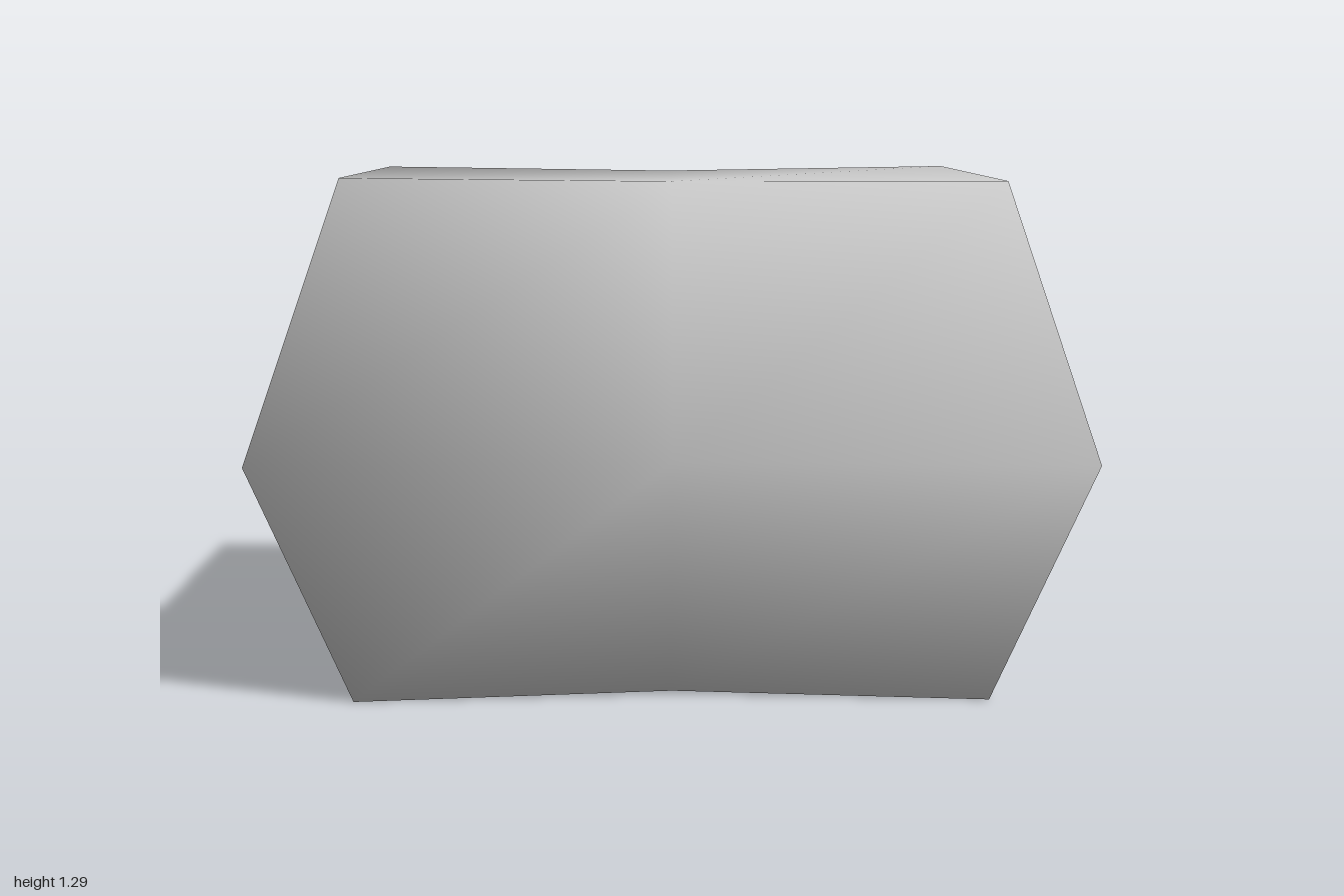
import * as THREE from 'three';

// Pinched, bulging block: three six-point rings joined by walls and closed by caps.
export function createModel() {
  const model = new THREE.Group();
  const grey = new THREE.MeshStandardMaterial({ color: 0xc6c6c6 });
  grey.name = 'light grey';

  // Each ring runs anticlockwise seen from above: three front points, three back points
  const rings = [
    [[-0.79, 0, 0.45], [0, 0.01, 0.4], [0.79, 0, 0.45],
      [0.79, 0, -0.45], [0, 0.01, -0.4], [-0.79, 0, -0.45]],
    [[-1, 0.63, 0.65], [0, 0.63, 0.59], [1, 0.63, 0.65],
      [1, 0.63, -0.65], [0, 0.63, -0.59], [-1, 0.63, -0.65]],
    [[-0.79, 1.29, 0.45], [0, 1.28, 0.4], [0.785, 1.285, 0.53],
      [0.785, 1.29, -0.48], [0, 1.28, -0.4], [-0.79, 1.29, -0.45]],
  ];

  const n = 6;
  const index = [];
  const quad = (a, b, c, d) => index.push(a, b, c, a, c, d);

  // Lower and upper walls
  for (let r = 0; r < 2; r++) {
    for (let i = 0; i < n; i++) {
      const j = (i + 1) % n;
      quad(r * n + i, r * n + j, (r + 1) * n + j, (r + 1) * n + i);
    }
  }
  // Top and bottom caps, each in two halves
  const t = 2 * n;
  quad(t, t + 1, t + 4, t + 5);
  quad(t + 1, t + 2, t + 3, t + 4);
  quad(0, 5, 4, 1);
  quad(1, 4, 3, 2);

  // Shared corners give smooth shading over the whole block
  const geometry = new THREE.BufferGeometry();
  geometry.setAttribute('position', new THREE.Float32BufferAttribute(rings.flat(2), 3));
  geometry.setIndex(index);
  geometry.computeVertexNormals();

  const block = new THREE.Mesh(geometry, grey);
  block.name = 'block';
  model.add(block);
  return model;
}
